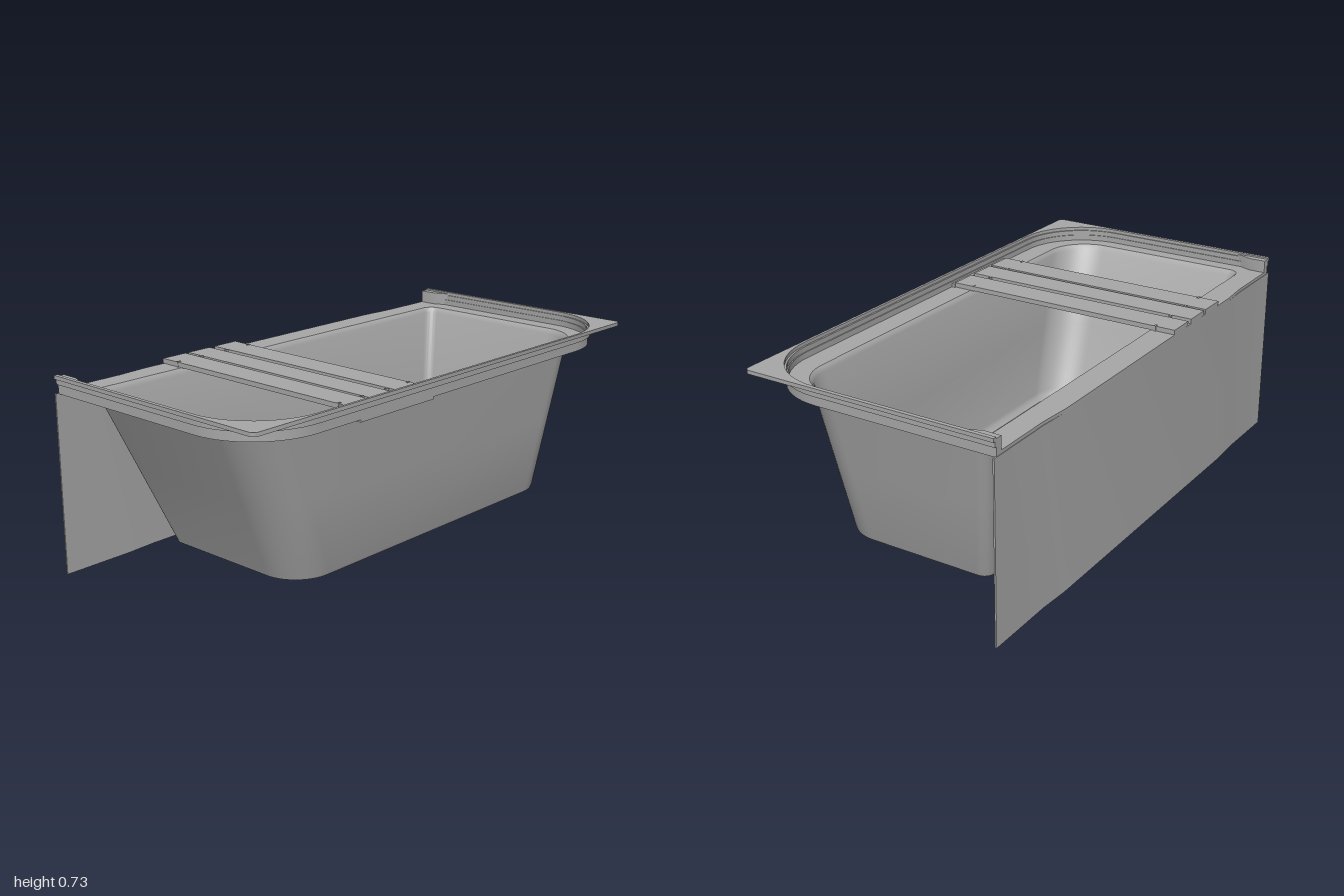
import * as THREE from 'three';
import { toCreasedNormals } from 'three/addons/utils/BufferGeometryUtils.js';

// Plan outlines use (x, s) with s = -z, so that rotating by -90 degrees lays them flat.
const P = (x, s) => new THREE.Vector2(x, s);

function arc(cx, cs, r, from, to, n = 14) {
  const pts = [];
  for (let i = 0; i <= n; i++) {
    const a = (from + ((to - from) * i) / n) * Math.PI;
    pts.push(P(cx + r * Math.cos(a), cs + r * Math.sin(a)));
  }
  return pts;
}

// Rounded rectangle with different front and back corner radii, counter-clockwise
function ring(x0, x1, zBack, zFront, rf, rb) {
  const lo = -zFront, hi = -zBack;
  return [
    ...arc(x0 + rf, lo + rf, rf, 1, 1.5), ...arc(x1 - rf, lo + rf, rf, 1.5, 2),
    ...arc(x1 - rb, hi - rb, rb, 0, 0.5), ...arc(x0 + rb, hi - rb, rb, 0.5, 1),
  ];
}

// U-shaped outline, open at the back
function uPath(hx, front, r, back = 0.49) {
  return [P(-hx, back), ...arc(-hx + r, -front + r, r, 1, 1.5), ...arc(hx - r, -front + r, r, 1.5, 2), P(hx, back)];
}

function plate(points, y0, y1, holes = []) {
  const shape = new THREE.Shape(points);
  holes.forEach((h) => shape.holes.push(new THREE.Path(h)));
  const g = new THREE.ExtrudeGeometry(shape, { depth: y1 - y0, bevelEnabled: false, curveSegments: 24 });
  g.rotateX(-Math.PI / 2).translate(0, y0, 0);
  return toCreasedNormals(g, 0.5);
}

// Skin between stacked outlines; rising levels face outwards, falling levels inwards
function loft(levels) {
  const pos = [], idx = [], n = levels[0].pts.length;
  levels.forEach(({ pts, y }) => pts.forEach((p) => pos.push(p.x, y, -p.y)));
  for (let j = 0; j < levels.length - 1; j++) {
    for (let i = 0; i < n; i++) {
      const a = j * n + i, b = j * n + ((i + 1) % n);
      idx.push(a, b, b + n, a, b + n, a + n);
    }
  }
  const g = new THREE.BufferGeometry();
  g.setAttribute('position', new THREE.Float32BufferAttribute(pos, 3));
  g.setIndex(idx);
  return toCreasedNormals(g, 0.7);
}

export function createModel() {
  const model = new THREE.Group();
  model.name = 'bathtub';
  const grey = new THREE.MeshStandardMaterial({ color: 0xa8a8a8, side: THREE.DoubleSide });
  grey.name = 'grey';

  const add = (name, geometry, parent = model) => {
    const mesh = new THREE.Mesh(geometry, grey);
    mesh.name = name;
    parent.add(mesh);
    return mesh;
  };
  const box = (name, x0, x1, y0, y1, z0, z1, parent) => {
    const mesh = add(name, new THREE.BoxGeometry(x1 - x0, y1 - y0, z1 - z0), parent);
    mesh.position.set((x0 + x1) / 2, (y0 + y1) / 2, (z0 + z1) / 2);
    return mesh;
  };

  // Basin cross-section at a given height, with an inset from its outer skin
  const section = (y, inset = 0) => {
    const t = (y - 0.09) / 0.575;
    const mix = (a, b) => a + (b - a) * t;
    return {
      y,
      pts: ring(mix(-0.66, -0.91) + inset, mix(0.777, 0.903) - inset,
        mix(-0.312, -0.398) + inset, mix(0.33, 0.386) - inset,
        mix(0.15, 0.165) - inset, 0.045 - inset),
    };
  };
  const opening = section(0.68, -0.002);
  const lowered = (y, source) => ({ y, pts: source.pts });

  // Basin: outer skin, inner skin and floor with the drain hole
  add('basinOuterWall', loft([
    lowered(0.075, section(0.09, 0.014)), lowered(0.079, section(0.09, 0.004)),
    section(0.09), section(0.38), section(0.67),
  ]));
  add('basinInnerWall', loft([
    opening, section(0.673, 0.004), section(0.66, 0.008), section(0.38, 0.008), section(0.115, 0.008),
    lowered(0.097, section(0.1, 0.012)), lowered(0.085, section(0.09, 0.028)),
  ]));
  const drain = { x: 0.63, s: 0.03 };
  const drainHole = arc(drain.x, drain.s, 0.032, 0, 2, 32).slice(0, -1);
  add('basinFloor', plate(section(0.09, 0.014).pts, 0.075, 0.085, [drainHole]));
  add('drainCollar', plate(arc(drain.x, drain.s, 0.037, 0, 2, 32).slice(0, -1), 0.065, 0.075, [drainHole]));

  // Overflow fitting set in the steep end wall
  const overflow = new THREE.Group();
  overflow.name = 'overflow';
  overflow.position.set(0.857, 0.475, 0.005);
  overflow.rotation.z = -0.215;
  model.add(overflow);
  add('overflowRing', new THREE.TorusGeometry(0.031, 0.003, 8, 32).rotateY(Math.PI / 2), overflow).position.x = -0.006;
  add('overflowCover', new THREE.CylinderGeometry(0.029, 0.029, 0.01, 32).rotateZ(Math.PI / 2), overflow).position.x = -0.003;

  // Deck around the opening, with a slightly bowed back edge
  const backEdge = [P(0.72, 0.49), P(0.6, 0.499), P(-0.6, 0.499), P(-0.72, 0.49)];
  add('deck', plate([...uPath(0.983, 0.481, 0.27), ...backEdge], 0.665, 0.68, [opening.pts]));

  // Stepped rim: two rounded upstands carrying a square-cornered flange
  const band = (name, outer, inner, y0, y1) => add(name, plate([...outer, ...inner.reverse()], y0, y1));
  band('lowerRim', uPath(0.985, 0.483, 0.272), uPath(0.976, 0.474, 0.263), 0.665, 0.702);
  band('upperRim', uPath(0.992, 0.49, 0.277), uPath(0.98, 0.478, 0.267), 0.7, 0.721);
  band('topFlange', uPath(1, 0.495, 0.02), uPath(0.985, 0.485, 0.272), 0.72, 0.734);
  for (const side of [-1, 1]) {
    const stop = add('rimEndStop', plate([P(0.957, 0.49), P(0.957, 0.425), P(0.983, 0.36), P(0.985, 0.49)]
      .map((p) => P(p.x * side, p.y)), 0.675, 0.728));
    stop.name = side > 0 ? 'leftRimEndStop' : 'rightRimEndStop';
  }

  // Apron panel closing the back
  const outerEdge = [P(1, 0.492), ...backEdge, P(-1, 0.492)];
  outerEdge[1].y = outerEdge[4].y = 0.492;
  const innerEdge = outerEdge.map((p) => P(p.x, p.y - 0.006)).reverse();
  add('apron', plate([...outerEdge, ...innerEdge], 0, 0.668));

  // Slatted seat lying across the tub
  const seat = new THREE.Group();
  seat.name = 'seat';
  model.add(seat);
  for (const [x0, x1] of [[-0.51, -0.402], [-0.388, -0.282], [-0.258, -0.15]]) {
    box('seatBoard', x0, x1, 0.681, 0.699, -0.5, 0.46, seat);
  }
  box('seatFrontRail', -0.514, -0.146, 0.656, 0.694, 0.46, 0.483, seat);
  for (const z of [-0.42, 0.378]) {
    for (const x of [-0.504, -0.395, -0.27, -0.156]) {
      box('seatPeg', x - 0.008, x + 0.008, 0.68, 0.701, z - 0.004, z + 0.004, seat);
    }
  }
  return model;
}
